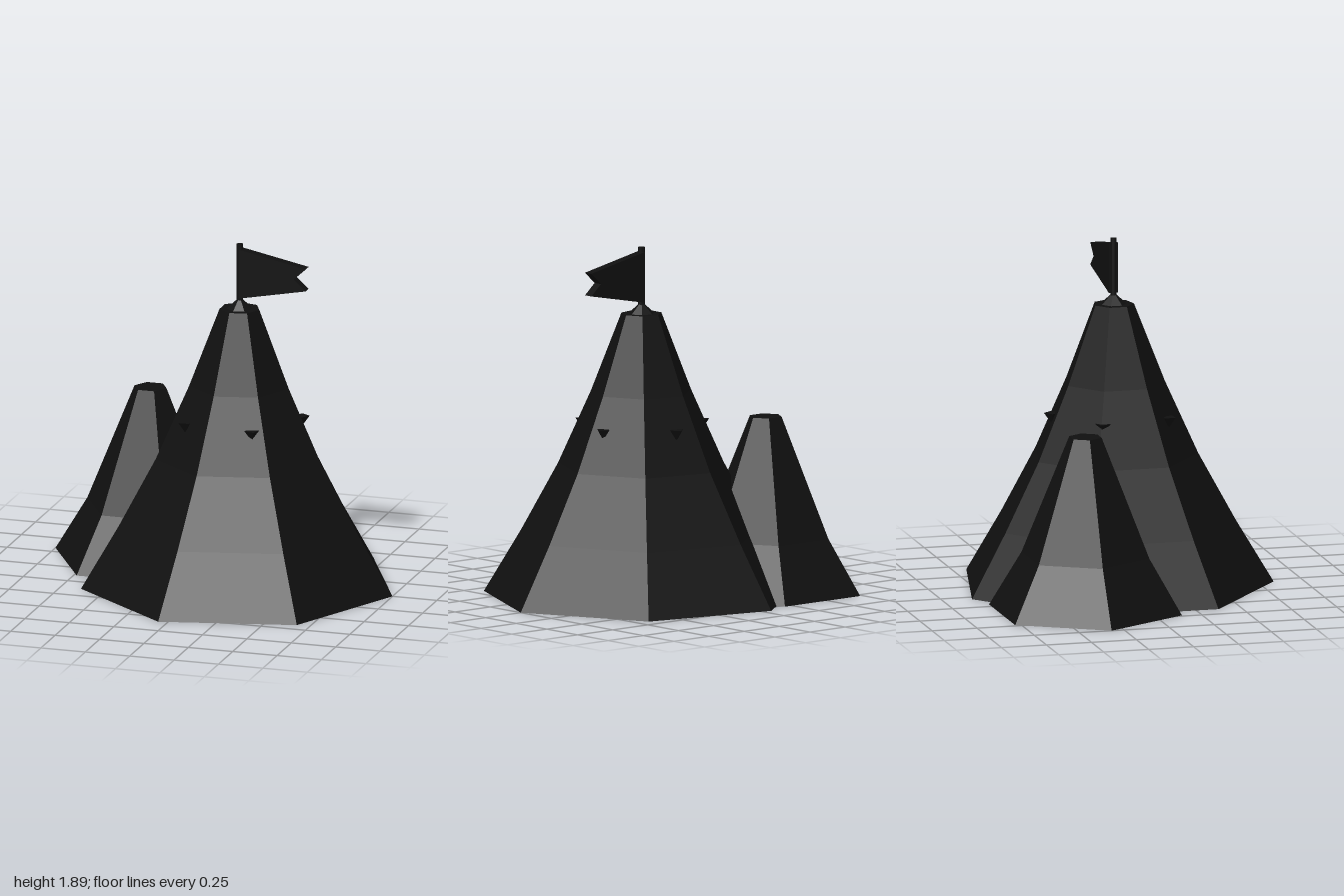
import * as THREE from 'three';

const dark = new THREE.MeshStandardMaterial({ color: 0x101010, flatShading: true });

function add(parent, name, geometry, x = 0, y = 0, z = 0) {
  const mesh = new THREE.Mesh(geometry, dark);
  mesh.name = name;
  mesh.position.set(x, y, z);
  parent.add(mesh);
  return mesh;
}

// Faceted peak from a [radius, height] profile, first corner on +x
function peakGeometry(profile, sides) {
  const points = profile.map(([r, y]) => new THREE.Vector2(r, y));
  return new THREE.LatheGeometry(points, sides, Math.PI / 2);
}

export function createModel() {
  const group = new THREE.Group();
  group.name = 'mountain';
  const cx = 0.14;

  // Seven-sided main peak with a small pointed tip
  add(group, 'mainPeak', peakGeometry([
    [0, 0], [0.86, 0], [0.657, 0.34], [0.455, 0.71], [0.275, 1.11],
    [0.11, 1.535], [0.07, 1.535], [0, 1.6],
  ], 7), cx);

  // Six-sided lower peak, flat on top
  add(group, 'sidePeak', peakGeometry([
    [0, 0], [0.535, 0], [0.355, 0.3], [0.09, 0.95], [0, 0.95],
  ], 6), -0.465, 0, -0.32);

  // Ring of small rock spikes pointing down
  for (let i = 0; i < 5; i++) {
    const a = THREE.MathUtils.degToRad(133 - 72 * i);
    const spike = add(group, 'rockSpike', new THREE.ConeGeometry(0.042, 0.06, 4),
      cx + 0.335 * Math.cos(a), 0.916, 0.335 * Math.sin(a));
    spike.rotation.set(Math.PI, a, 0);
  }

  // Flag pole
  add(group, 'flagPole', new THREE.CylinderGeometry(0.018, 0.018, 0.335, 8), cx, 1.7275, 0);

  // Swallow-tailed pennant
  const flag = new THREE.Shape([
    [0.14, 1.595], [0.52, 1.67], [0.452, 1.73], [0.52, 1.793], [0.14, 1.87],
  ].map(([x, y]) => new THREE.Vector2(x, y)));
  add(group, 'flag', new THREE.ExtrudeGeometry(flag, { depth: 0.052, bevelEnabled: false }), 0, 0, -0.026);

  return group;
}
